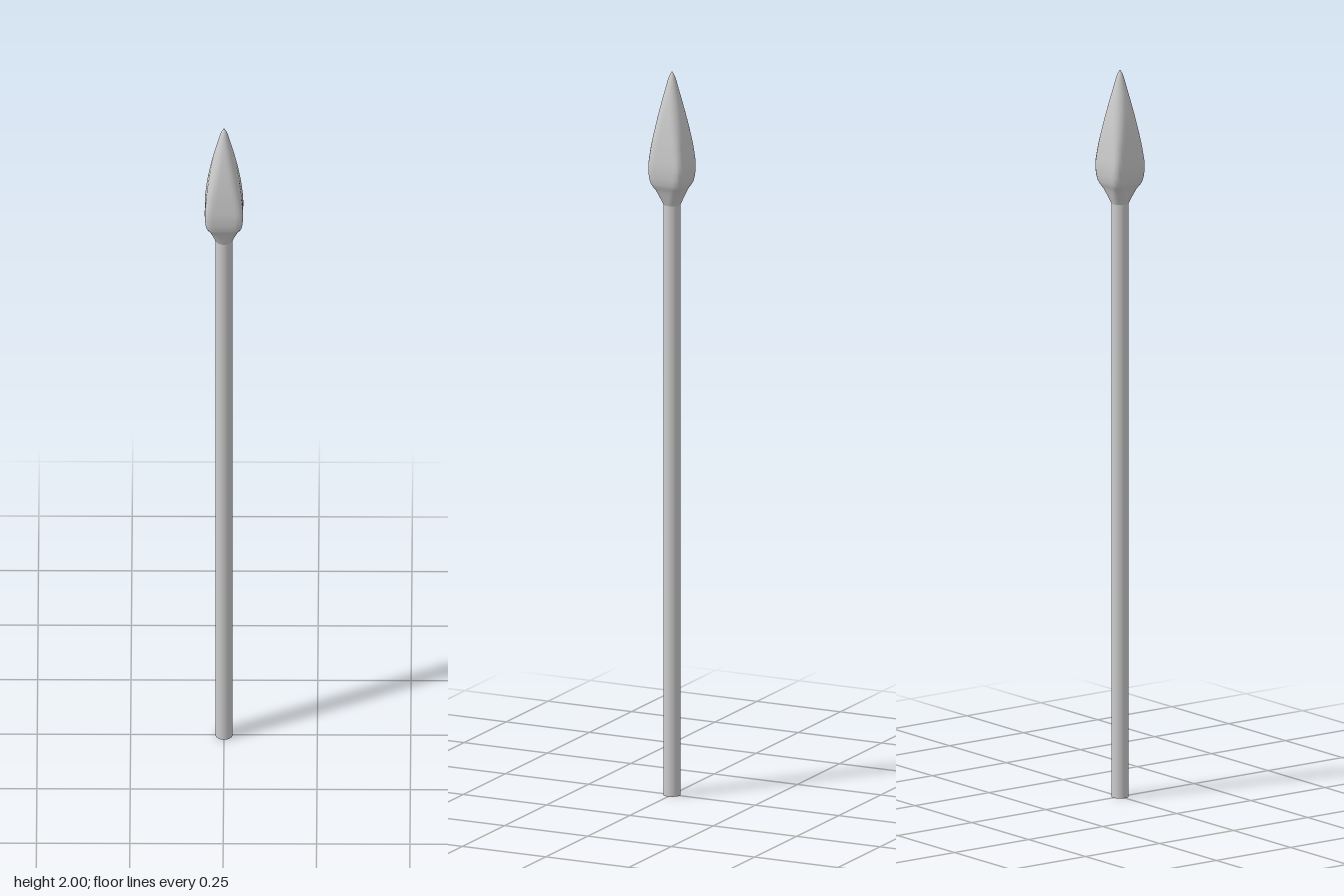
import * as THREE from 'three';
import { mergeVertices } from 'three/addons/utils/BufferGeometryUtils.js';

const SIDES = 48;

// Distance from centre to the edge of a rounded square (half-width w, roundness k: 1 = circle)
function roundedSquareRadius(angle, w, k) {
  let a = Math.abs(angle) % (Math.PI / 2);
  if (a > Math.PI / 4) a = Math.PI / 2 - a;
  const c = w * k, d = w - c;
  if (w * Math.tan(a) <= d) return w / Math.cos(a);
  const b = d * (Math.cos(a) + Math.sin(a));
  return b + Math.sqrt(Math.max(0, b * b - 2 * d * d + c * c));
}

// Head: a lathed leaf profile whose section goes from round to square and back
function headGeometry() {
  // half-width, height, roundness
  const stations = new THREE.CatmullRomCurve3([
    [0.023, 1.632, 1], [0.037, 1.672, 0.55], [0.0495, 1.707, 0.3], [0.0515, 1.735, 0.28],
    [0.049, 1.775, 0.35], [0.041, 1.84, 0.58], [0.03, 1.9, 0.8], [0.018, 1.95, 0.95],
    [0.007, 1.988, 1], [0, 2, 1],
  ].map((p) => new THREE.Vector3(...p)), false, 'centripetal').getPoints(36);

  const profile = stations.map((s) => new THREE.Vector2(Math.max(0, s.x), s.y));
  const geo = new THREE.LatheGeometry(profile, SIDES);
  const pos = geo.attributes.position;
  for (let i = 0; i < pos.count; i++) {
    const s = stations[i % stations.length];
    const angle = (Math.floor(i / stations.length) / SIDES) * Math.PI * 2;
    const r = roundedSquareRadius(angle, Math.max(0, s.x), THREE.MathUtils.clamp(s.z, 0.05, 1));
    pos.setXYZ(i, r * Math.sin(angle), s.y, r * Math.cos(angle));
  }
  // weld the seam so the shading stays smooth all round
  geo.deleteAttribute('uv');
  geo.deleteAttribute('normal');
  const welded = mergeVertices(geo, 1e-5);
  welded.computeVertexNormals();
  return welded;
}

export function createModel() {
  const model = new THREE.Group();
  model.name = 'spear';
  const material = new THREE.MeshStandardMaterial({ color: 0xcccccc });

  // Shaft
  const shaft = new THREE.Mesh(new THREE.CylinderGeometry(0.023, 0.023, 1.635, 32), material);
  shaft.name = 'shaft';
  shaft.position.y = 1.635 / 2;
  model.add(shaft);

  // Spearhead
  const head = new THREE.Mesh(headGeometry(), material);
  head.name = 'spearhead';
  model.add(head);

  return model;
}
